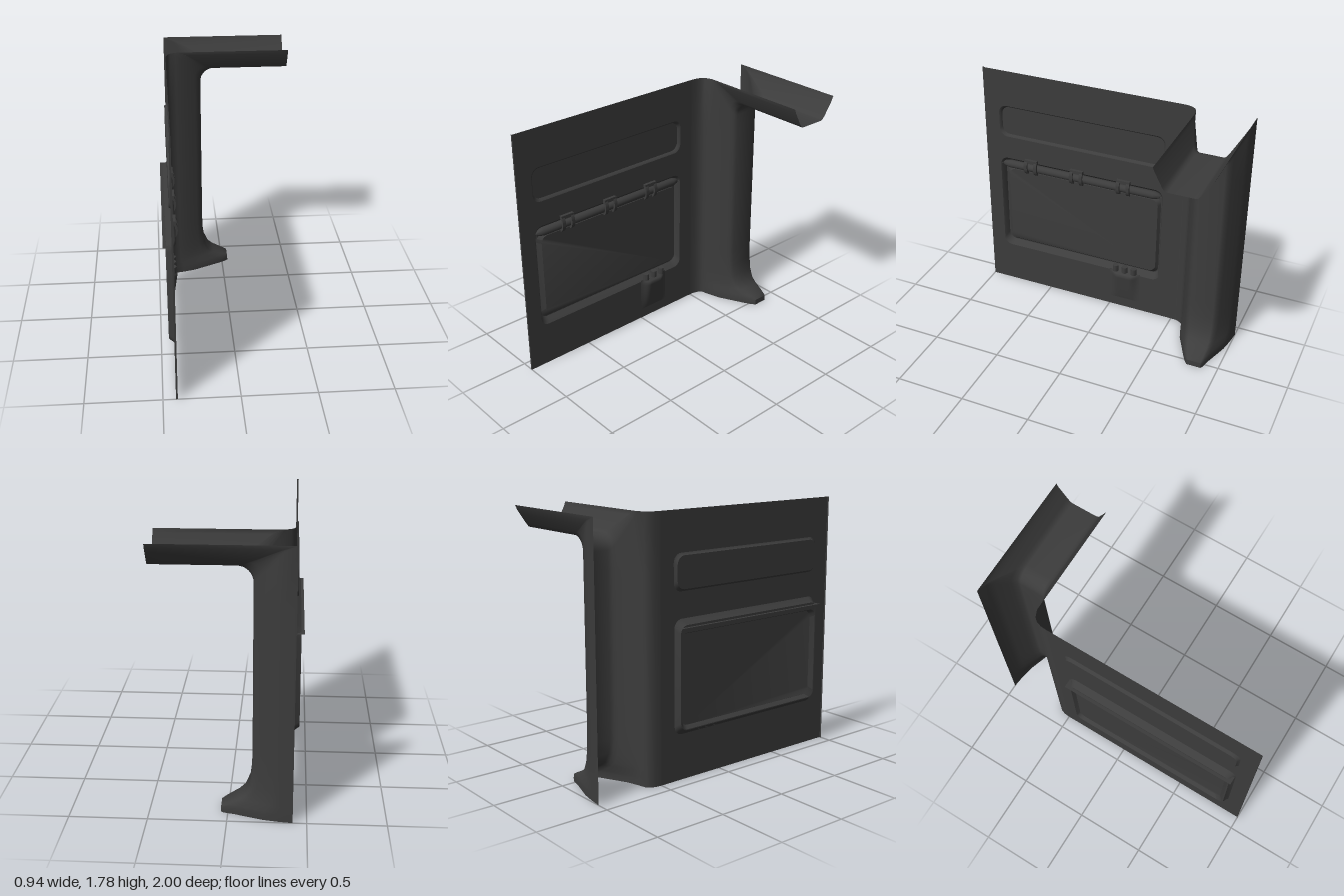
import * as THREE from 'three';
import { toCreasedNormals } from 'three/addons/utils/BufferGeometryUtils.js';

const material = new THREE.MeshStandardMaterial({ color: 0x3c3c3c, side: THREE.DoubleSide });
const WALL_X = -0.405;

function mesh(name, geometry, parent) {
  const m = new THREE.Mesh(geometry, material);
  m.name = name;
  parent.add(m);
  return m;
}

function indexed(pos, idx, crease = 0.7) {
  const g = new THREE.BufferGeometry();
  g.setAttribute('position', new THREE.Float32BufferAttribute(pos, 3));
  g.setIndex(idx);
  return toCreasedNormals(g, crease);
}

// Counter-clockwise outline of a rounded rectangle
function roundedRect([u0, u1, y0, y1, r]) {
  const pts = [], n = 6;
  const corners = [[u1 - r, y0 + r, -90], [u1 - r, y1 - r, 0], [u0 + r, y1 - r, 90], [u0 + r, y0 + r, 180]];
  for (const [cx, cy, start] of corners) {
    for (let k = 0; k <= n; k++) {
      const a = THREE.MathUtils.degToRad(start + 90 * k / n);
      pts.push(new THREE.Vector2(cx + r * Math.cos(a), cy + r * Math.sin(a)));
    }
  }
  return pts;
}

// Sunken tray lofted through rectangles [u0, u1, y0, y1, radius, depth]
function pocket(rects) {
  const pos = [], idx = [];
  const n = roundedRect(rects[0]).length;
  for (const rect of rects) {
    for (const p of roundedRect(rect)) pos.push(p.x, p.y, -rect[5]);
  }
  for (let l = 0; l < rects.length - 1; l++) {
    for (let k = 0; k < n; k++) {
      const a = l * n + k, b = l * n + (k + 1) % n;
      idx.push(a, b, b + n, a, b + n, a + n);
    }
  }
  const last = (rects.length - 1) * n;
  for (let k = 1; k < n - 1; k++) idx.push(last, last + k, last + k + 1);
  return indexed(pos, idx);
}

// Channel-shaped pillar that turns over into the roof arm and flares at the foot
function pillarAndArm() {
  // section points: pillar x, pillar z, arm y, arm z
  const section = [
    [-0.405, -0.5, 1.78, -0.5], [-0.402, -0.54, 1.78, -0.54], [-0.39, -0.575, 1.78, -0.575],
    [-0.37, -0.598, 1.78, -0.598], [-0.335, -0.61, 1.78, -0.618], [-0.29, -0.625, 1.755, -0.627],
    [-0.195, -0.68, 1.655, -0.68], [-0.17, -0.697, 1.636, -0.693], [-0.155, -0.72, 1.63, -0.715],
    [-0.155, -0.89, 1.63, -0.89], [-0.165, -0.908, 1.635, -0.905], [-0.2, -0.925, 1.66, -0.925],
    [-0.29, -0.975, 1.72, -0.967], [-0.335, -0.988, 1.75, -0.987], [-0.412, -1, 1.78, -1],
  ];
  const foot = [[0, 0.2], [0.012, 0.2], [0.04, 0.198], [0.06, 0.165], [0.1, 0.085], [0.13, 0.048],
    [0.2, 0.017], [0.3, 0.005], [0.42, 0], [1.4, 0]];
  const pos = [], idx = [];
  let n = 0;
  section.forEach(([px, pz, ay, az], i) => {
    const s = Math.max(0, (px + 0.36) / 0.205), r = i < 4 ? 0 : 0.1 * s, col = [];
    for (const [y, flare] of foot) {
      col.push([px + flare * s, y, pz + (-0.87 - pz) * 2 * flare * s * s]);
    }
    for (let k = 0; k <= 8; k++) {
      const a = k / 8 * Math.PI / 2;
      col.push([px + r - r * Math.cos(a), ay - r + r * Math.sin(a), pz + (az - pz) * k / 8]);
    }
    // only the channel itself continues into the arm
    col.push(i >= 4 ? [0.469, ay, az] : col[col.length - 1]);
    n = col.length;
    col.forEach(p => pos.push(...p));
  });
  for (let i = 0; i < section.length - 1; i++) {
    for (let j = 0; j < n - 1; j++) {
      if (i < 4 && j === n - 2) continue;
      const a = i * n + j, b = a + n;
      idx.push(a, b, b + 1, a, b + 1, a + 1);
    }
  }
  return indexed(pos, idx, 0.8);
}

export function createModel() {
  const model = new THREE.Group();
  model.name = 'wallPanelWithPillar';
  mesh('pillarAndRoofArm', pillarAndArm(), model);

  // Side wall, drawn facing +z and turned to face +x
  const side = new THREE.Group();
  side.name = 'sideWall';
  side.rotation.y = Math.PI / 2;
  side.position.x = WALL_X;
  model.add(side);

  const upper = [
    [-0.885, 0.395, 1.262, 1.508, 0.06, 0], [-0.877, 0.387, 1.27, 1.5, 0.06, 0.006],
    [-0.87, 0.38, 1.277, 1.493, 0.058, 0.02],
  ];
  // A groove runs round a door panel that stands forward again
  const lower = [
    [-0.89, 0.39, 0.315, 1.085, 0.06, 0], [-0.882, 0.384, 0.325, 1.075, 0.06, 0.01],
    [-0.868, 0.372, 0.35, 1.05, 0.055, 0.044], [-0.858, 0.366, 0.356, 1.0, 0.05, 0.044],
    [-0.83, 0.35, 0.378, 0.99, 0.05, 0.02],
  ];
  const wall = new THREE.Shape([[-1, 0], [0.5, 0], [0.5, 1.78], [-1, 1.78]].map(p => new THREE.Vector2(...p)));
  wall.holes.push(...[upper, lower].map(r => new THREE.Path(roundedRect(r[0]))));
  mesh('wallSheet', new THREE.ShapeGeometry(wall), side);
  mesh('upperPocket', pocket(upper), side);
  mesh('lowerPocket', pocket(lower), side);

  // Folded front edge of the wall
  const edge = mesh('frontEdge', new THREE.PlaneGeometry(0.012, 1.78), model);
  edge.position.set(WALL_X - 0.006, 0.89, 1);

  // Thin shelf behind the hinge rod
  const shelf = mesh('shelf', new THREE.PlaneGeometry(1.28, 0.064), side);
  shelf.rotation.x = -Math.PI / 2;
  shelf.position.set(-0.245, 1.035, -0.032);

  // Hinge rod with tapered ends
  const rod = [[0, -0.63], [0.018, -0.61], [0.03, -0.57], [0.03, 0.57], [0.018, 0.61], [0, 0.63]];
  const rodMesh = mesh('hingeRod', toCreasedNormals(
    new THREE.LatheGeometry(rod.map(p => new THREE.Vector2(...p)), 16), 0.6), side);
  rodMesh.rotation.z = Math.PI / 2;
  rodMesh.position.set(-0.25, 1.035, -0.012);

  // Hinges: U-shaped straps curving over the rod
  for (const z of [0.635, 0.27, -0.095]) {
    const hinge = new THREE.Group();
    hinge.name = 'hinge';
    hinge.position.set(-z, 1.05, 0);
    side.add(hinge);
    const strap = new THREE.Shape();
    strap.absarc(0, 0, 0.06, -Math.PI / 2, Math.PI / 2, false);
    strap.absarc(0, 0, 0.036, Math.PI / 2, -Math.PI / 2, true);
    for (const s of [-1, 1]) {
      const g = new THREE.ExtrudeGeometry(strap, { depth: 0.025, bevelEnabled: false, curveSegments: 10 });
      g.rotateY(-Math.PI / 2).scale(1, 1, 0.55).translate(s * 0.038 + 0.0125, 0, 0);
      mesh('hingeStrap', toCreasedNormals(g, 0.6), hinge);
    }
    const bar = mesh('hingeBar', new THREE.BoxGeometry(0.1, 0.026, 0.022), hinge);
    bar.position.set(0, 0.047, 0.011);
  }

  // Latch clips on the lower rim of the pocket
  for (const z of [-0.048, -0.12, -0.192]) {
    const clip = mesh('latchClip', toCreasedNormals(new THREE.CylinderGeometry(0.022, 0.022, 0.05, 12), 0.6), side);
    clip.position.set(-z, 0.348, 0.008);
  }

  // Finger bulge below the clips: steep at the top, fading downwards
  const bulge = new THREE.PlaneGeometry(0.24, 0.25, 16, 16);
  const p = bulge.attributes.position;
  for (let i = 0; i < p.count; i++) {
    const across = THREE.MathUtils.smoothstep(0.12 - Math.abs(p.getX(i)), 0, 0.07);
    const t = (p.getY(i) + 0.125) / 0.25;
    const up = t > 0.92 ? (1 - t) / 0.08 : Math.pow(t / 0.92, 0.9);
    p.setZ(i, 0.001 + 0.037 * across * up);
  }
  bulge.computeVertexNormals();
  mesh('fingerBulge', bulge, side).position.set(0.12, 0.2, 0);

  return model;
}
